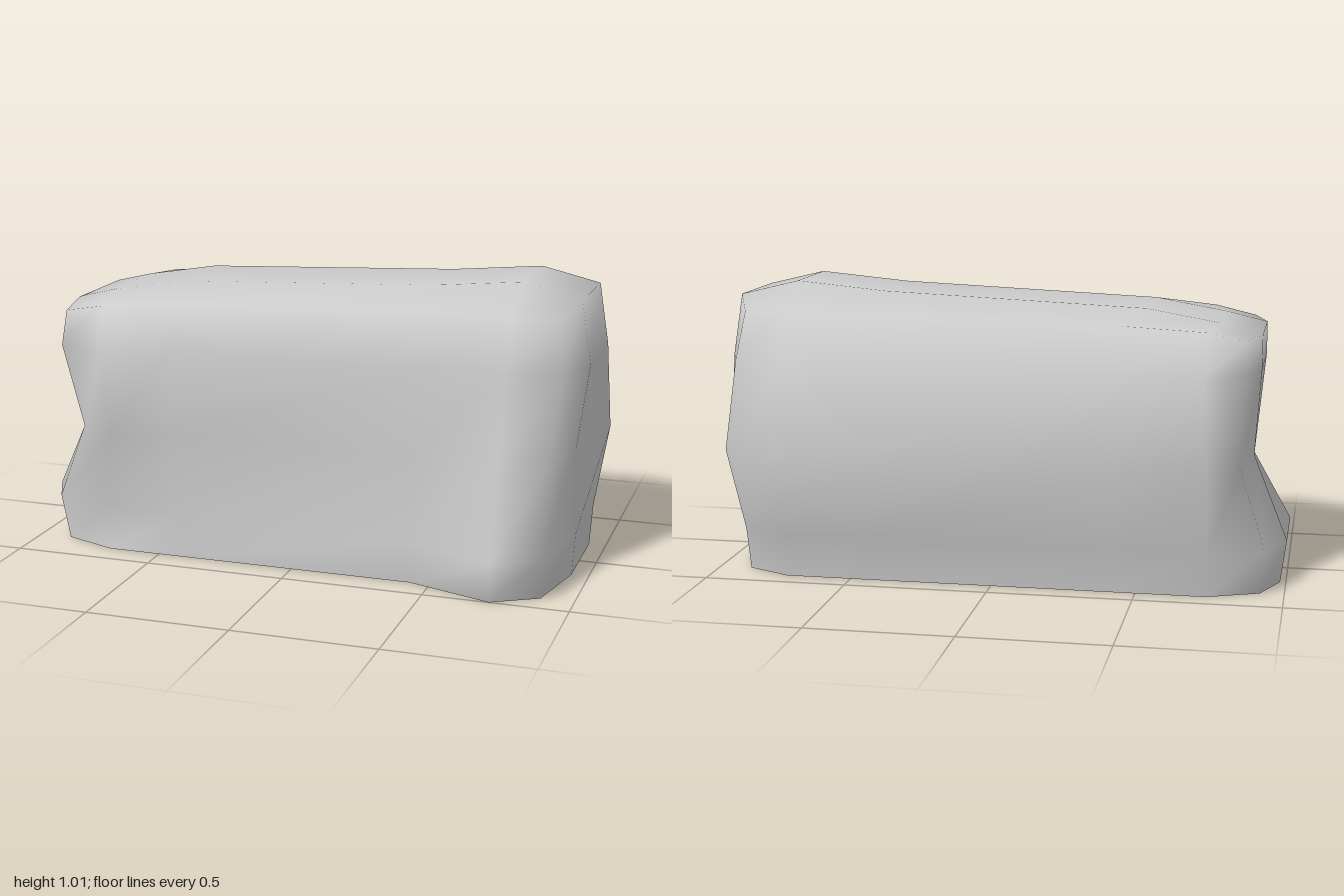
import * as THREE from 'three';

// Corners run front +x, back +x, back -x, front -x.
// Each is [end x, corner z, mid-side z, corner x].
const levels = [
  { y: 0.00, corners: [[0.94, 0.50, 0.40, 0.73], [0.94, -0.42, -0.42, 0.73], [-0.98, -0.42, -0.42, -0.74], [-0.95, 0.40, 0.40, -0.69]] },
  { y: 0.15, corners: [[0.95, 0.55, 0.415, 0.74], [0.95, -0.44, -0.44, 0.74], [-1.00, -0.44, -0.44, -0.74], [-1.00, 0.37, 0.385, -0.72]] },
  { y: 0.45, corners: [[0.94, 0.41, 0.40, 0.73], [1.00, -0.545, -0.525, 0.74], [-0.88, -0.51, -0.525, -0.74], [-0.83, 0.475, 0.42, -0.64]] },
  { y: 0.75, corners: [[0.98, 0.375, 0.37, 0.74], [0.98, -0.44, -0.44, 0.74], [-0.90, -0.44, -0.44, -0.72], [-0.90, 0.53, 0.445, -0.65]] },
];
const shoulder = [[0.945, 0.305, 0.30, 0.74], [0.945, -0.35, -0.35, 0.74], [-0.90, -0.35, -0.35, -0.72], [-0.90, 0.40, 0.345, -0.70]];

// Four points round one corner, from the long side to the end
function cornerPoints(corners, k, heights, inset) {
  const [endX, z, midZ, x] = corners[k];
  const points = [
    [Math.sign(x) * 0.43, heights[0], midZ],
    [x, heights[1], z],
    [x + (endX - x) * 0.74, heights[2], z * inset],
    [endX, heights[3], z > 0 ? 0.15 : -0.19],
  ];
  return k % 2 ? points.reverse() : points;
}

export function createModel() {
  const group = new THREE.Group();
  const positions = [];
  const index = [];
  const quad = (a, b, c, d) => index.push(a, b, c, a, c, d);

  // Wall rings
  for (const { y, corners } of levels) {
    for (let k = 0; k < 4; k++) {
      positions.push(...cornerPoints(corners, k, [y, y, y, y], 0.82).flat());
    }
  }

  // Shoulder ring, higher at the +x end
  for (let k = 0; k < 4; k++) {
    const heights = k < 2 ? [0.92, 0.93, 0.92, 0.965] : [0.905, 0.89, 0.86, 0.865];
    positions.push(...cornerPoints(shoulder, k, heights, 0.91).flat());
  }

  // Inner points of the sloping top
  const ridge = [[-0.76, 0.90], [-0.50, 0.945], [0.42, 0.985], [0.74, 1.015]];
  for (const z of [0.14, -0.18]) {
    for (const [x, y] of ridge) positions.push(x, y, z);
  }

  // Wall faces
  for (let r = 0; r < 4; r++) {
    for (let i = 0; i < 16; i++) {
      const a = r * 16 + i, b = r * 16 + (i + 1) % 16;
      quad(a, b, b + 16, a + 16);
    }
  }

  // Top faces, joining the shoulder ring to the inner points
  const rows = [
    [13, 14, 15, 0, 1, 2],
    [12, 16, 17, 18, 19, 3],
    [11, 20, 21, 22, 23, 4],
    [10, 9, 8, 7, 6, 5],
  ].map((row) => row.map((i) => i + 64));
  for (let r = 0; r < 3; r++) {
    for (let c = 0; c < 5; c++) {
      quad(rows[r][c], rows[r][c + 1], rows[r + 1][c + 1], rows[r + 1][c]);
    }
  }

  const geometry = new THREE.BufferGeometry();
  geometry.setAttribute('position', new THREE.Float32BufferAttribute(positions, 3));
  geometry.setIndex(index);
  geometry.computeVertexNormals();

  // Smooth shell, open underneath
  const shell = new THREE.Mesh(
    geometry,
    new THREE.MeshStandardMaterial({ color: 0xcccccc, side: THREE.DoubleSide }),
  );
  shell.name = 'stoneBlock';
  group.add(shell);
  return group;
}
